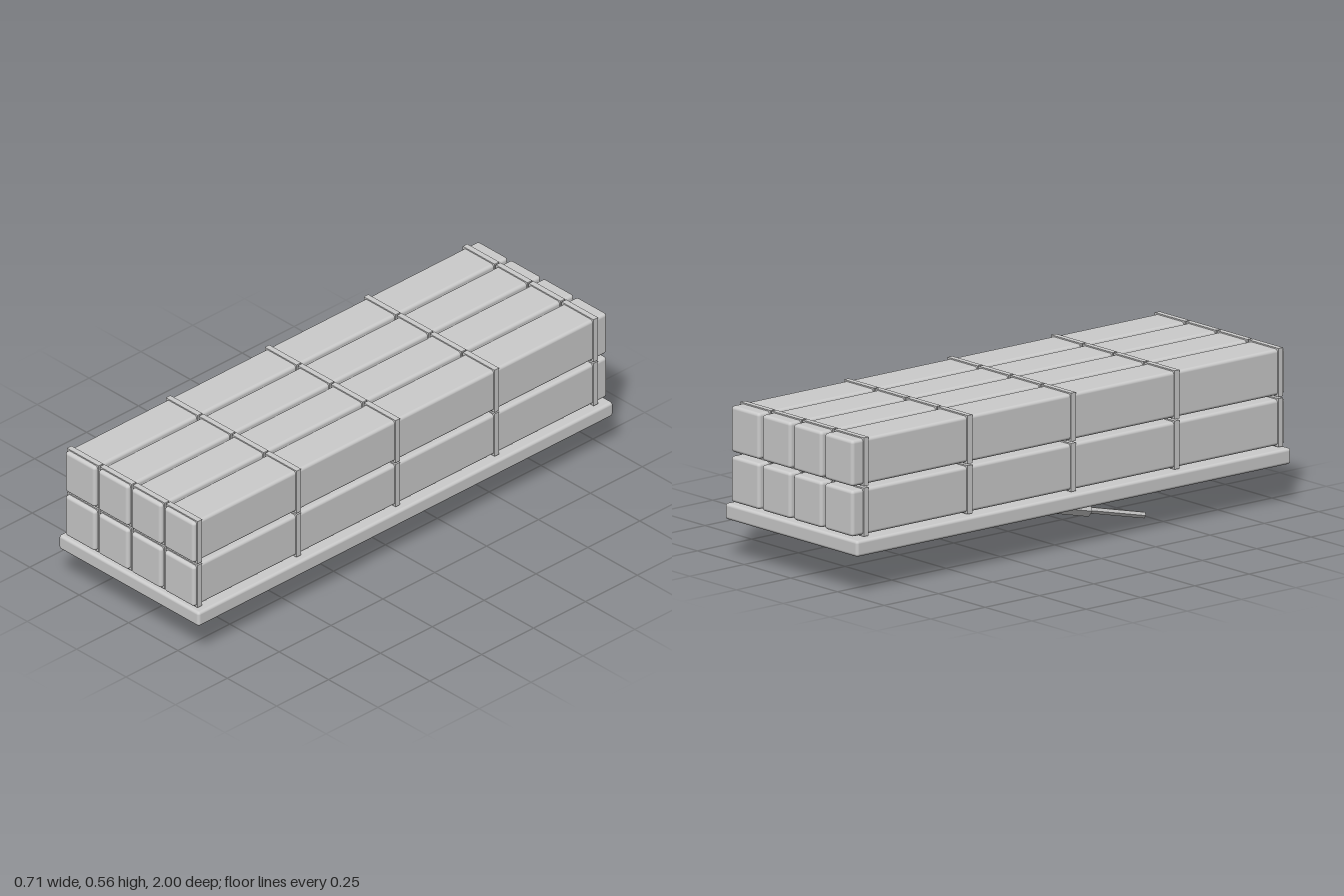
import * as THREE from 'three';
import { RoundedBoxGeometry } from 'three/addons/geometries/RoundedBoxGeometry.js';

export function createModel() {
  const model = new THREE.Group();
  model.name = 'strappedCargoPallet';
  const grey = new THREE.MeshStandardMaterial({ color: 0xcccccc });
  grey.name = 'light grey';

  const add = (parent, name, geometry, x, y, z) => {
    const mesh = new THREE.Mesh(geometry, grey);
    mesh.name = name;
    mesh.position.set(x, y, z);
    parent.add(mesh);
    return mesh;
  };

  // Flat base with softened edges
  add(model, 'basePlate', new RoundedBoxGeometry(0.71, 0.058, 2, 3, 0.011), 0, 0.173, 0);

  // Two layers of four long crates, each held by five thin bands
  const crateShape = new RoundedBoxGeometry(0.152, 0.166, 1.994, 3, 0.012);
  const bandShape = new THREE.BoxGeometry(0.161, 0.175, 0.022);
  for (const y of [0.294, 0.475]) {
    for (let column = 0; column < 4; column++) {
      const x = (column - 1.5) * 0.167;
      const crate = new THREE.Group();
      crate.name = 'bandedCrate';
      add(crate, 'crate', crateShape, x, y, 0);
      for (let i = -2; i <= 2; i++) {
        add(crate, 'band', bandShape, x, y, 0.017 + i * 0.477);
      }
      model.add(crate);
    }
  }

  // Six-sided rod along local z, with corners at its sides
  const rod = (radius, length) => {
    const g = new THREE.CylinderGeometry(radius, radius, length, 6, 1, false, Math.PI / 2);
    return g.rotateX(Math.PI / 2).toNonIndexed();
  };
  const sleeveShape = rod(0.0255, 0.32);
  const pistonShape = rod(0.0125, 0.29);
  sleeveShape.computeVertexNormals();
  pistonShape.computeVertexNormals();

  // Pair of slanted telescopic struts under the base
  for (const side of [-1, 1]) {
    const strut = new THREE.Group();
    strut.name = side > 0 ? 'leftStrut' : 'rightStrut';
    strut.position.set(side * 0.167, 0.073, 0.223);
    strut.rotation.x = 0.236;
    add(strut, 'sleeve', sleeveShape, 0, 0, -0.16);
    add(strut, 'piston', pistonShape, 0, 0, 0.12);
    model.add(strut);
  }
  return model;
}
